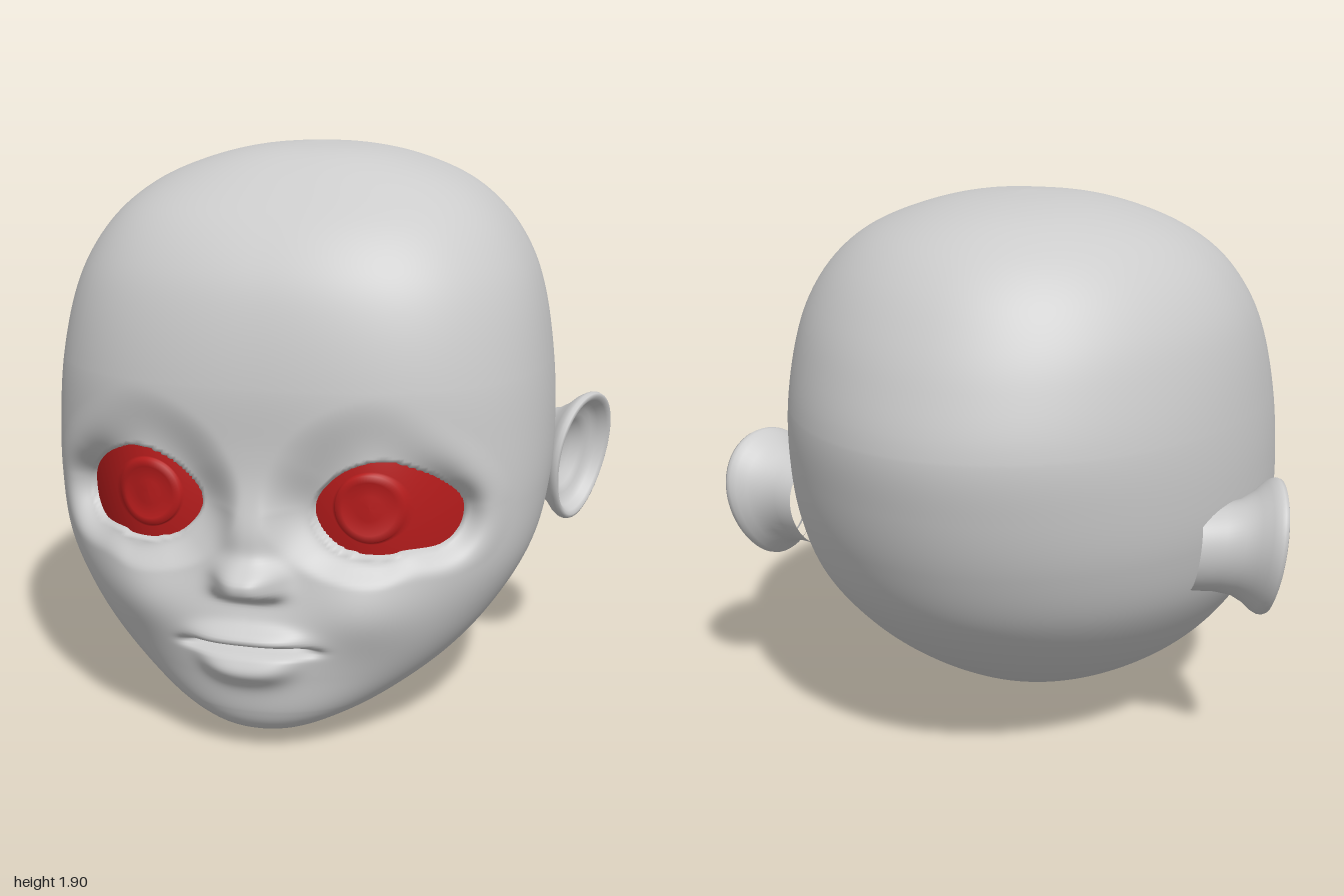
import * as THREE from 'three';

const { lerp, smoothstep } = THREE.MathUtils;
const bump = (v, width, power = 2) => Math.exp(-Math.pow(Math.abs(v / width), power));

// Catmull-Rom blend of four numbers
function spline(a, b, c, d, t) {
  return 0.5 * (2 * b + (c - a) * t + (2 * a - 5 * b + 4 * c - d) * t * t + (3 * b - a - 3 * c + d) * t * t * t);
}

// Grid surface closed around its columns; side = -1 mirrors it in x
function surface(rows, cols, point, side = 1) {
  const pos = [], index = [];
  for (let i = 0; i < rows; i++) {
    for (let j = 0; j < cols; j++) {
      const [x, y, z] = point(i, j);
      pos.push(x * side, y, z);
      if (i === rows - 1) continue;
      const k = (j + 1) % cols;
      const a = i * cols + j, b = i * cols + k, c = b + cols, d = a + cols;
      if (side > 0) index.push(a, b, c, a, c, d);
      else index.push(a, c, b, a, d, c);
    }
  }
  const g = new THREE.BufferGeometry();
  g.setAttribute('position', new THREE.Float32BufferAttribute(pos, 3));
  g.setIndex(index);
  g.computeVertexNormals();
  return g;
}

// Eye opening: radius every 30 degrees about its centre
const EYE = { x: 0.41, y: 0.81 };
const EYE_RADII = [0.222, 0.185, 0.165, 0.17, 0.176, 0.198, 0.228, 0.195, 0.152, 0.138, 0.145, 0.215];
function eyeRadius(angle) {
  const f = ((angle / (Math.PI * 2) + 1) % 1) * 12, k = Math.floor(f);
  const r = n => EYE_RADII[(k + n + 12) % 12];
  return spline(r(-1), r(0), r(1), r(2), f - k);
}
// Depth of the eyeball front
function eyeZ(x, y) {
  const f = (x - 0.33) / 0.31;
  return 0.752 - (f > 0 ? 0.22 : 0.12) * f * f - 0.5 * (y - 0.82) ** 2;
}

// Nose, cheeks and mouth, as added depth
function featureDepth(x, y) {
  const t = y - 0.6;
  const tip = t < 0 ? bump(t, 0.06, 4) : bump(t, 0.05);
  const bridge = bump(y - 0.72, 0.14) * smoothstep(y, 0.5, 0.58);
  let d = 0.1 * tip * bump(x, 0.105, 3) + 0.045 * bridge * bump(x, 0.085, 2.5);
  d += 0.05 * bump(x - 0.36, 0.17) * bump(y - 0.5, 0.14);
  d += 0.055 * bump(x, 0.24) * bump(y - 0.37, 0.17);
  d += 0.045 * bump(y - 0.415 + 0.25 * x * x, 0.03) * bump(x, 0.18, 4);
  d += 0.036 * bump(y - 0.3 - x * x, 0.045) * bump(x, 0.15, 4);
  d -= 0.065 * bump(y - 0.375 + 0.1 * x * x, 0.014) * bump(x, 0.21, 6);
  return d;
}

// Sinks the face into the eye socket
function socketDepth(x, y, z) {
  const dx = x - EYE.x, dy = y - EYE.y, dist = Math.hypot(dx, dy);
  const angle = Math.atan2(dy, dx), rho = dist / eyeRadius(angle);
  const end = 1.65 + 0.55 * Math.max(0, Math.sin(angle));
  if (rho >= end) return z;
  const s = rho > 1 ? 1 / rho : 1;
  const rim = eyeZ(EYE.x + dx * s, EYE.y + dy * s);
  const lid = rim + lerp(-0.035, 0.02, smoothstep(rho, 0.93, 1.01));
  return lerp(lid, z, smoothstep(rho, 1, end));
}

// Head sections: height, half width, front z, back z, z of the widest point
const SECTIONS = [
  [0, 0, 0.5, 0.5, 0.5],
  [0.01, 0.09, 0.61, 0.33, 0.47],
  [0.035, 0.17, 0.71, 0.17, 0.45],
  [0.08, 0.28, 0.8, 0.01, 0.42],
  [0.15, 0.42, 0.835, -0.19, 0.36],
  [0.27, 0.58, 0.83, -0.41, 0.3],
  [0.42, 0.71, 0.825, -0.61, 0.24],
  [0.6, 0.81, 0.82, -0.775, 0.18],
  [0.8, 0.85, 0.815, -0.875, 0.13],
  [1.0, 0.855, 0.815, -0.93, 0.1],
  [1.2, 0.84, 0.812, -0.95, 0.08],
  [1.4, 0.805, 0.775, -0.895, 0.05],
  [1.55, 0.75, 0.715, -0.825, 0.02],
  [1.68, 0.66, 0.61, -0.735, 0],
  [1.78, 0.535, 0.46, -0.62, -0.02],
  [1.85, 0.37, 0.325, -0.465, -0.03],
  [1.89, 0.2, 0.18, -0.26, -0.03],
  [1.905, 0, -0.03, -0.03, -0.03],
];

function headGeometry() {
  const last = SECTIONS.length - 1, rings = [];
  for (let k = 0; k < last; k++) {
    const steps = k >= 4 && k <= 9 ? 19 : 6; // finer over the face
    const row = n => SECTIONS[Math.min(last, Math.max(0, k + n))];
    for (let s = 0; s < steps; s++) {
      rings.push(row(0).map((v, c) => spline(row(-1)[c], v, row(1)[c], row(2)[c], s / steps)));
    }
  }
  rings.push(SECTIONS[last]);
  const cols = 330;
  return surface(rings.length, cols, (i, j) => {
    const [y, w, front, back, mid] = rings[i];
    const u = (j / cols) * Math.PI * 2 - Math.PI;
    const a = u - 0.45 * Math.sin(u);
    const s = Math.sin(a), c = Math.cos(a);
    const n = c > 0 ? lerp(2.15, 2.5, smoothstep(y, 0.05, 0.6)) : 1.95;
    const r = 1 / Math.pow(Math.abs(s) ** n + Math.abs(c) ** n, 1 / n);
    const x = w * r * s;
    let z = mid + (c > 0 ? front - mid : mid - back) * r * c;
    if (c > 0) {
      z += featureDepth(Math.abs(x), y) * smoothstep(c, 0.05, 0.4);
      z = socketDepth(Math.abs(x), y, z);
    }
    return [x, y, z];
  });
}

// Eyeball front with a raised iris ring: [iris radius, raise]
function eyeGeometry(side) {
  const iris = [[0.112, 0], [0.108, 0.012], [0.086, 0.012], [0.08, 0.002], [0.04, 0.002], [0, 0.002]];
  const outer = 8, cols = 64;
  return surface(outer + iris.length, cols, (i, j) => {
    const a = (j / cols) * Math.PI * 2, ca = Math.cos(a), sa = Math.sin(a);
    const [r, raise] = iris[Math.max(0, i - outer)];
    const t = Math.min(1, i / outer), rim = eyeRadius(a) * 1.02;
    const x = lerp(EYE.x + rim * ca, 0.365 + r * ca, t);
    const y = lerp(EYE.y + rim * sa, 0.828 + r * sa, t);
    return [x, y, eyeZ(x, y) + raise];
  }, side);
}

// Ear: flared cup from the root over the rolled rim into the bowl, [scale, offset]
function earGeometry(side) {
  const profile = [
    [0.62, -0.24], [0.64, -0.16], [0.7, -0.1], [0.82, -0.055], [0.94, -0.025], [0.99, -0.005],
    [1, 0.008], [0.98, 0.02], [0.93, 0.024], [0.87, 0.014], [0.8, -0.012], [0.72, -0.03],
    [0.62, -0.035], [0.52, -0.05], [0.4, -0.075], [0.2, -0.09], [0, -0.092],
  ];
  const cols = 56;
  return surface(profile.length, cols, (i, j) => {
    const a = (j / cols) * Math.PI * 2, [s, off] = profile[i];
    const u = Math.cos(a) * s, v = Math.sin(a) * s * 0.235;
    const narrow = 1 + 0.5 * v; // slimmer towards the lobe
    return [
      0.915 + 0.075 * u * narrow + 0.93 * off + 0.12 * v,
      0.785 + v,
      -0.215 - 0.185 * u * narrow + 0.37 * off,
    ];
  }, side);
}

export function createModel() {
  const model = new THREE.Group();
  model.name = 'dollHead';
  const skin = new THREE.MeshStandardMaterial({ color: 0xcccccc });
  const red = new THREE.MeshStandardMaterial({ color: 0xb71c1c });
  const add = (name, geometry, material) => {
    const mesh = new THREE.Mesh(geometry, material);
    mesh.name = name;
    model.add(mesh);
  };
  add('head', headGeometry(), skin);
  for (const [name, side] of [['left', 1], ['right', -1]]) {
    add(name + 'Eye', eyeGeometry(side), red);
    add(name + 'Ear', earGeometry(side), skin);
  }
  return model;
}
